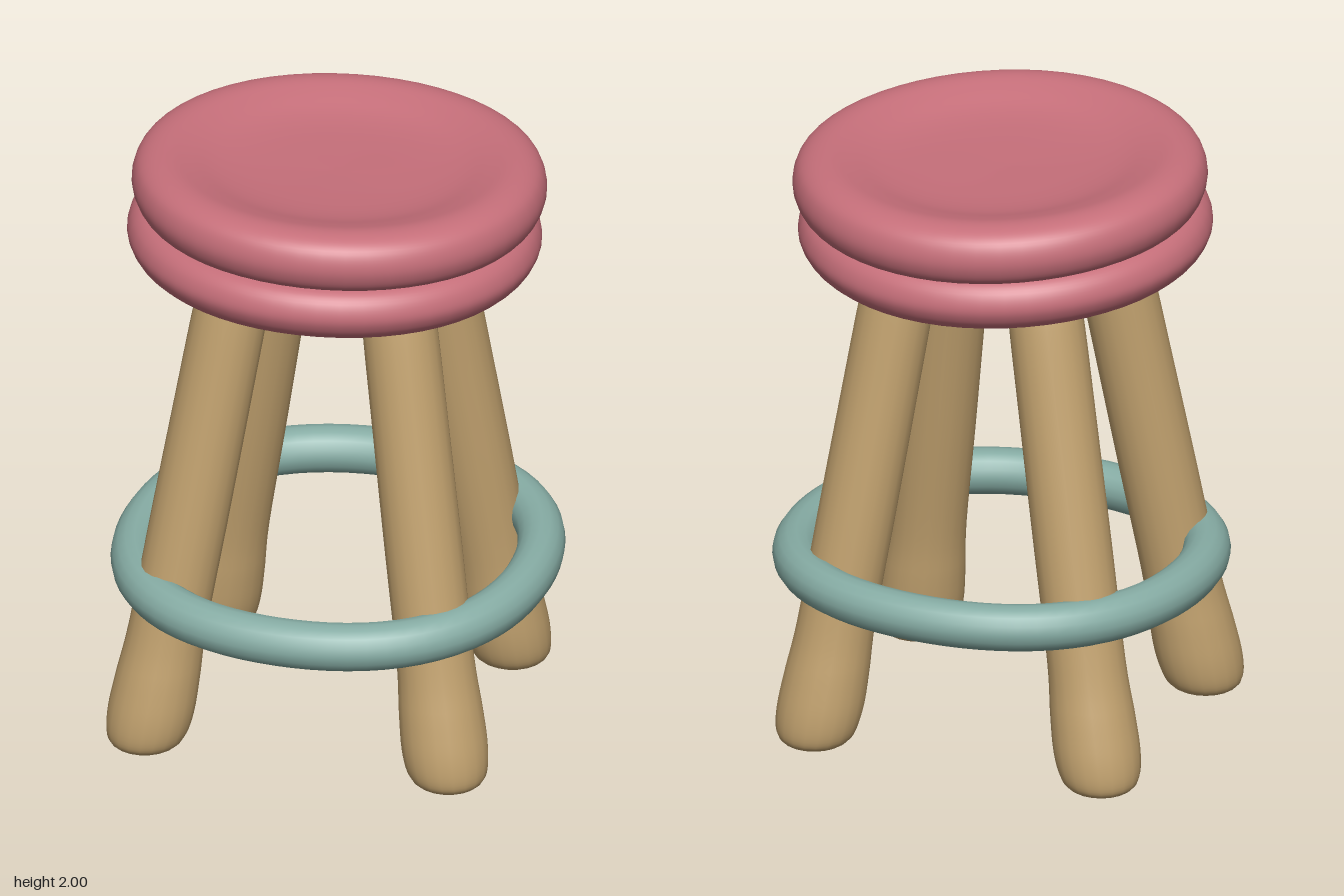
import * as THREE from 'three';
import { mergeVertices } from 'three/addons/utils/BufferGeometryUtils.js';

const material = (name, color) => {
  const m = new THREE.MeshStandardMaterial({ color });
  m.name = name;
  return m;
};

// Smooth lathe whose vertices are then moved by a rule
function softLathe(profile, sides, rule) {
  const curve = new THREE.SplineCurve(profile.map(([r, y]) => new THREE.Vector2(r, y)));
  const points = curve.getPoints(profile.length * 4);
  points.forEach((p) => { p.x = Math.max(p.x, 0); });
  points[0].x = points[points.length - 1].x = 0;
  return reshape(new THREE.LatheGeometry(points, sides), rule);
}

// Moves every vertex, welds the seams and renews the smooth normals
function reshape(geometry, rule) {
  const pos = geometry.attributes.position;
  const v = new THREE.Vector3();
  for (let i = 0; i < pos.count; i++) {
    v.fromBufferAttribute(pos, i);
    rule(v);
    pos.setXYZ(i, v.x, v.y, v.z);
  }
  geometry.deleteAttribute('uv');
  geometry.deleteAttribute('normal');
  const welded = mergeVertices(geometry, 1e-4);
  welded.computeVertexNormals();
  return welded;
}

export function createModel() {
  const group = new THREE.Group();
  group.name = 'stool';
  const wood = material('tan wood', 0xc2a26f);
  const fabric = material('rose fabric', 0xc66f7a);
  const paint = material('sage paint', 0x86aca4);

  const add = (name, geometry, mat) => {
    const mesh = new THREE.Mesh(geometry, mat);
    mesh.name = name;
    group.add(mesh);
  };

  // Two stacked cushions, leaning slightly down to +x
  const lowerProfile = [
    [0, -0.085], [0.3, -0.085], [0.57, -0.083], [0.63, -0.062], [0.66, -0.02], [0.665, 0.02],
    [0.645, 0.065], [0.6, 0.092], [0.5, 0.1], [0, 0.1],
  ];
  const upperProfile = [
    [0, -0.1], [0.5, -0.1], [0.6, -0.092], [0.642, -0.067], [0.664, -0.02], [0.664, 0.025],
    [0.645, 0.067], [0.605, 0.093], [0.55, 0.1], [0.48, 0.085], [0.38, 0.058], [0.25, 0.045], [0, 0.04],
  ];
  const cushion = (name, profile, cx, cy, cz) => add(name, softLathe(profile, 56, (v) => {
    const a = Math.atan2(v.z, v.x);
    const r = Math.hypot(v.x, v.z);
    v.y += cy - 0.03 * v.x + 0.004 * r * Math.sin(3 * a + 1);
    v.x += cx;
    v.z += cz;
  }), fabric);
  cushion('lowerCushion', lowerProfile, 0, 1.705, 0.01);
  cushion('upperCushion', upperProfile, 0.02, 1.88, 0.005);

  // Splayed legs, leaning from the foot centre to the top centre
  const legProfile = [
    [0, 0], [0.06, 0], [0.105, 0.012], [0.13, 0.05], [0.14, 0.13], [0.136, 0.25], [0.126, 0.42],
    [0.126, 0.8], [0.124, 1.2], [0.122, 1.5], [0.115, 1.6], [0.09, 1.66], [0, 1.67],
  ];
  const legs = [
    ['frontLeg', [0.075, 0.662], [0.05, 0.35]],
    ['backLeg', [-0.09, -0.672], [-0.01, -0.335]],
    ['leftLeg', [0.665, -0.03], [0.355, -0.003]],
    ['rightLeg', [-0.665, -0.035], [-0.345, -0.01]],
  ];
  for (const [name, foot, top] of legs) {
    add(name, softLathe(legProfile, 20, (v) => {
      const t = v.y / 1.6;
      v.x += THREE.MathUtils.lerp(foot[0], top[0], t);
      v.z += THREE.MathUtils.lerp(foot[1], top[1], t);
    }), wood);
  }

  // Foot ring, drawn out a little at the legs and higher at the back
  const ring = new THREE.TorusGeometry(0.655, 0.077, 16, 72).rotateX(-Math.PI / 2);
  add('footRing', reshape(ring, (v) => {
    const a = Math.atan2(v.z, v.x);
    const r = Math.hypot(v.x, v.z);
    const s = (r + 0.011 * Math.cos(4 * a)) / r;
    v.x = v.x * s + 0.015;
    v.z = v.z * s + 0.005;
    v.y += 0.566 + 0.025 * v.x - 0.032 * v.z;
  }), paint);

  return group;
}
